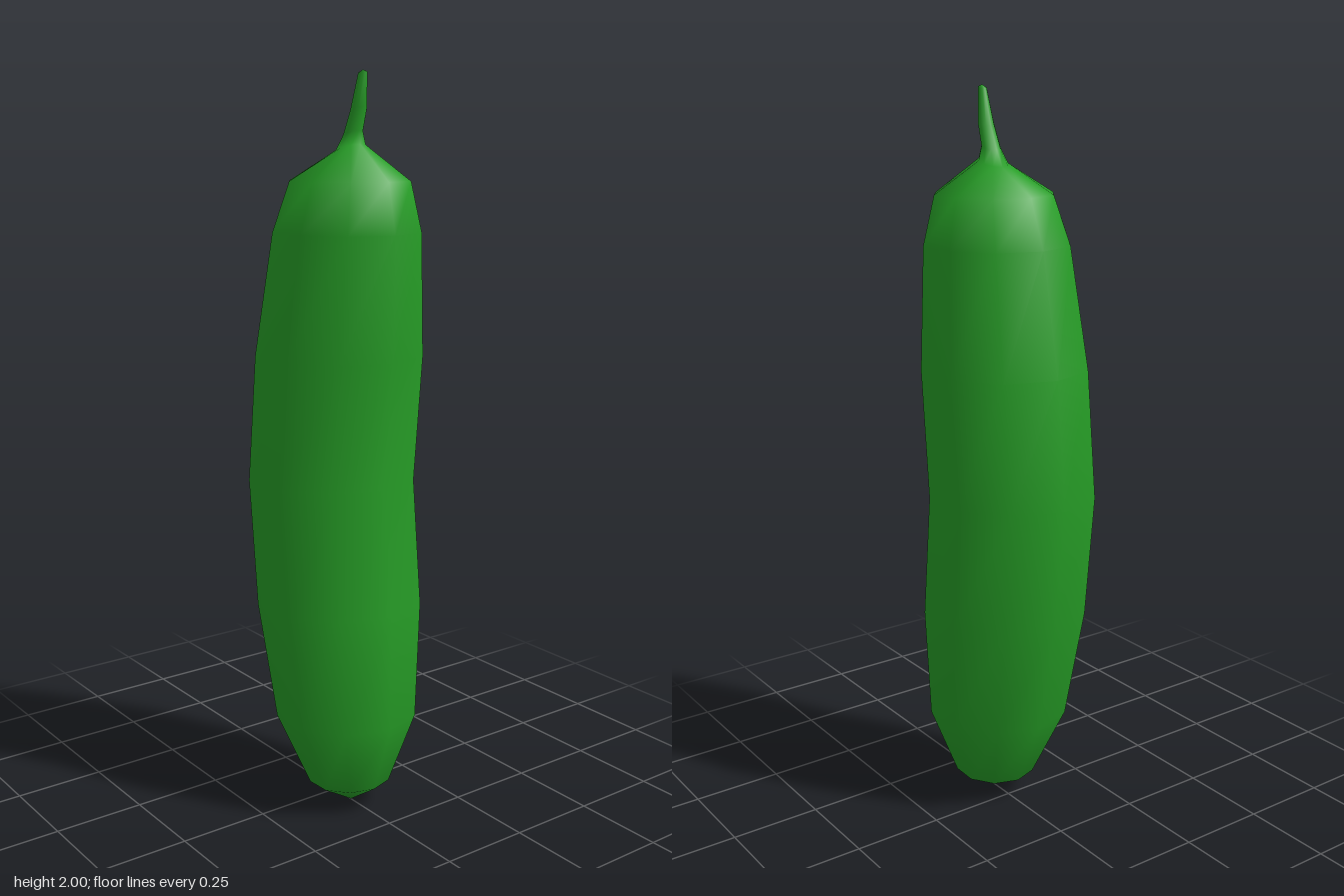
import * as THREE from 'three';
import { mergeVertices } from 'three/addons/utils/BufferGeometryUtils.js';

const SIDES = 10;

// Cross-sections from bottom to top: [y, centre z, radius, rise towards the front]
const RINGS = [
  [0.005, 0.075, 0, 0],
  [0.075, 0.067, 0.115, 0.004],
  [0.28, 0.05, 0.2, 0],
  [0.6, 0.017, 0.232, 0],
  [0.94, -0.018, 0.232, 0],
  [1.28, 0.016, 0.23, 0],
  [1.6, 0.05, 0.2, 0],
  [1.728, 0.063, 0.162, 0],
  // Shoulder narrowing into the curved stem
  [1.808, 0.066, 0.04, 0.012],
  [1.845, 0.076, 0.026, 0.008],
  [1.905, 0.099, 0.022, 0.006],
  [1.993, 0.115, 0.012, 0.003],
  [2.0, 0.116, 0, 0],
];

// Closed skin through the rings, with a corner on the front and back centre line
function loft(rings) {
  const positions = [];
  const index = [];
  rings.forEach(([y, cz, r, rise], j) => {
    for (let i = 0; i < SIDES; i++) {
      const a = (i / SIDES) * Math.PI * 2;
      positions.push(Math.sin(a) * r, y + Math.cos(a) * rise, cz + Math.cos(a) * r);
      if (j === rings.length - 1) continue;
      const p = j * SIDES + i;
      const q = j * SIDES + ((i + 1) % SIDES);
      if (r > 0) index.push(p, q, q + SIDES);
      if (rings[j + 1][2] > 0) index.push(p, q + SIDES, p + SIDES);
    }
  });
  // The pole rings of zero radius need the fan triangle that touches the tip
  const geometry = new THREE.BufferGeometry();
  geometry.setAttribute('position', new THREE.Float32BufferAttribute(positions, 3));
  geometry.setIndex(index);
  const welded = mergeVertices(geometry, 1e-5);
  welded.computeVertexNormals();
  return welded;
}

export function createModel() {
  const group = new THREE.Group();
  group.name = 'cucumber';

  const greenSkin = new THREE.MeshStandardMaterial({ color: 0x269c26 });
  greenSkin.name = 'greenSkin';

  // Bent body and stem in one continuous smooth skin
  const body = new THREE.Mesh(loft(RINGS), greenSkin);
  body.name = 'bodyAndStem';
  group.add(body);

  return group;
}
